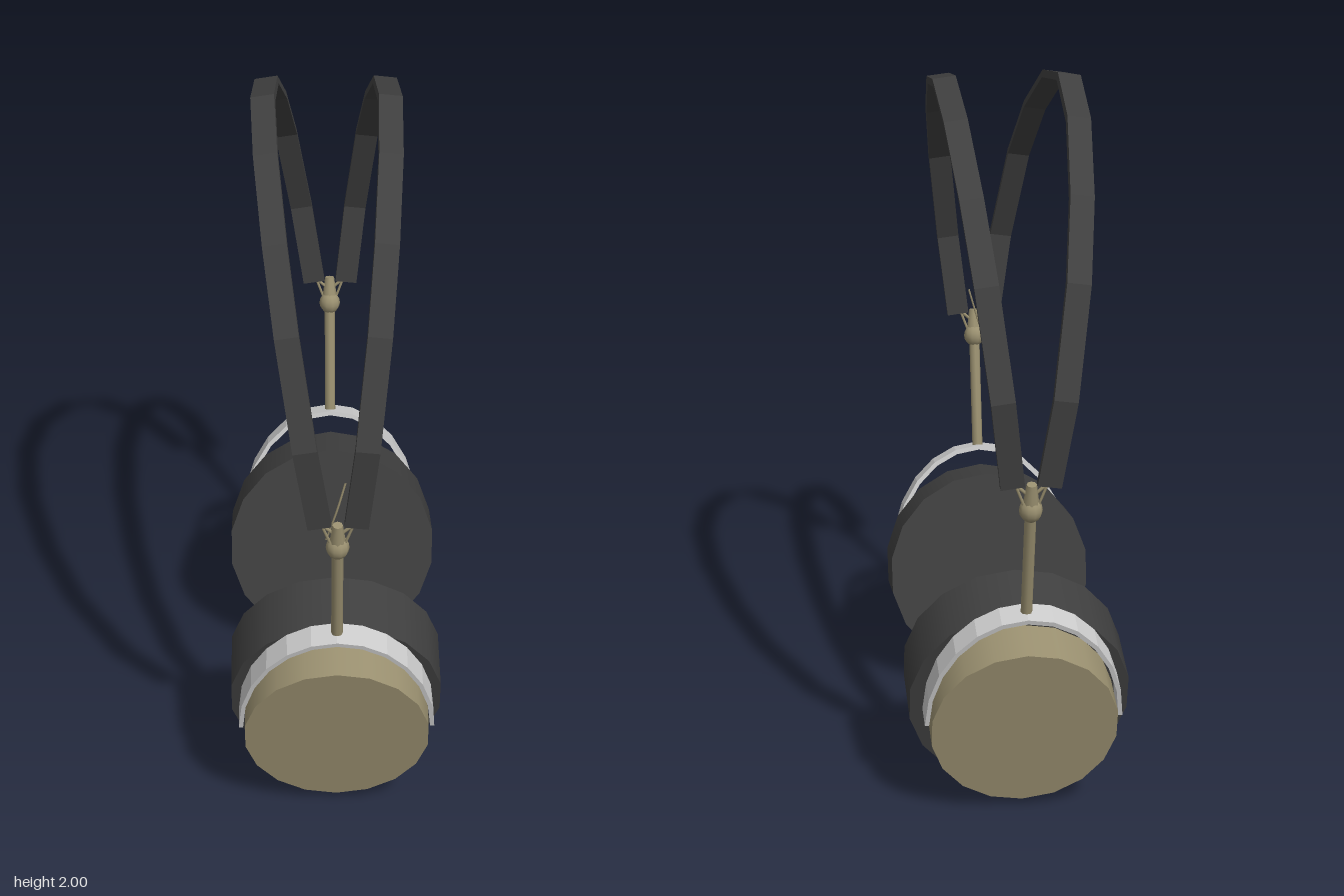
import * as THREE from 'three';

const mat = (color, flatShading) => new THREE.MeshStandardMaterial({ color, flatShading });
const dark = mat(0x3f3f3f, false), tan = mat(0x9a9070, false);
const strapDark = mat(0x3f3f3f, true), grey = mat(0xcccccc, true);

function add(parent, name, geometry, material) {
  const mesh = new THREE.Mesh(geometry, material);
  mesh.name = name;
  parent.add(mesh);
  return mesh;
}

// Cylinder along z between two depths
function disc(r, z0, z1, sides) {
  return new THREE.CylinderGeometry(r, r, z1 - z0, sides).rotateX(Math.PI / 2).translate(0, 0, (z0 + z1) / 2);
}

// Round bar between two points
function bar(a, b, r0, r1 = r0, sides = 8) {
  const A = new THREE.Vector3(...a), B = new THREE.Vector3(...b), d = B.clone().sub(A);
  const g = new THREE.CylinderGeometry(r1, r0, d.length(), sides);
  g.applyQuaternion(new THREE.Quaternion().setFromUnitVectors(new THREE.Vector3(0, 1, 0), d.normalize()));
  return g.translate(...A.add(B).multiplyScalar(0.5).toArray());
}

// Faceted headband strap: an arch leaning sideways from its foot at x
function strap(x, tilt) {
  const t = 0.022;
  const half = [[0.705, 1.06], [0.73, 1.31], [0.637, 1.6], [0.48, 1.79], [0.25, 1.94]];
  const outer = [...half, [0, 1.995], ...half.slice().reverse().map(([z, y]) => [-z, y])];
  // Inner edge is set in from the outer one along its normal
  const inner = outer.map(([z, y], i) => {
    const a = outer[Math.max(i - 1, 0)], b = outer[Math.min(i + 1, outer.length - 1)];
    const dz = b[0] - a[0], dy = b[1] - a[1], l = Math.hypot(dz, dy);
    return [z - dy / l * t, y + dz / l * t];
  });
  const pts = [...outer, ...inner.reverse()]
    .map(([z, y]) => new THREE.Vector2(z, (y - 1.06) / Math.cos(tilt)));
  return new THREE.ExtrudeGeometry(new THREE.Shape(pts), { depth: 0.065, bevelEnabled: false })
    .translate(0, 0, -0.0325).rotateY(-Math.PI / 2).rotateZ(tilt).translate(x, 1.06, 0);
}

// Half-oval fork: a flat strip bent over the top of the cup
function forkGeometry() {
  const N = 12;
  const arc = (rx, ry) => Array.from({ length: N + 1 }, (_, i) =>
    new THREE.Vector2(rx * Math.cos(Math.PI * i / N), ry * Math.sin(Math.PI * i / N)));
  const shape = new THREE.Shape([...arc(0.278, 0.36), ...arc(0.266, 0.346).reverse()]);
  return new THREE.ExtrudeGeometry(shape, { depth: 0.075, bevelEnabled: false }).translate(0, 0, 0.034);
}

function earSide(name, padRadius, padY) {
  const side = new THREE.Group();
  side.name = name;

  // Tilted ear cup
  const cup = new THREE.Group();
  cup.name = 'earCup';
  cup.position.set(0, 0.325, 0.458);
  cup.rotation.x = 0.235;
  side.add(cup);
  add(cup, 'earPad', disc(padRadius, -0.186, 0, 18), dark).position.y = padY;
  add(cup, 'cupShell', disc(0.264, -0.01, 0.134, 18), tan).position.y = -0.014;
  add(cup, 'fork', forkGeometry(), grey).position.y = -0.005;

  // Slider rod and its ball joint
  add(side, 'rod', bar([0, 0.645, 0.603], [0, 0.99, 0.685], 0.016), tan);
  const ball = add(side, 'ballJoint', new THREE.SphereGeometry(0.032, 10, 8), tan);
  ball.position.set(0, 0.99, 0.686);
  ball.scale.y = 1.1;
  add(side, 'jointNeck', bar([0, 1.01, 0.69], [0, 1.07, 0.703], 0.022, 0.014), tan);

  // Thin wires up to the two straps
  for (const s of [-1, 1]) {
    add(side, 'strapWire', bar([s * 0.008, 0.975, 0.69], [s * 0.045, 1.075, 0.7], 0.004, 0.004, 5), tan);
    add(side, 'strapHook', bar([0, 1.03, 0.695], [s * 0.045, 1.07, 0.697], 0.005, 0.005, 5), tan);
  }
  return side;
}

export function createModel() {
  const model = new THREE.Group();
  model.name = 'headphones';

  // The two straps spread apart towards the top
  add(model, 'rightStrap', strap(-0.048, 0.153), strapDark);
  add(model, 'leftStrap', strap(0.05, -0.112), strapDark);

  const front = earSide('frontEarSide', 0.304, -0.003);
  const back = earSide('backEarSide', 0.315, -0.017);
  back.rotation.y = Math.PI;
  model.add(front, back);

  // Loose wire end by the front joint
  const curve = new THREE.CatmullRomCurve3([
    new THREE.Vector3(-0.03, 0.98, 0.635), new THREE.Vector3(0, 1.08, 0.642), new THREE.Vector3(0.022, 1.16, 0.635)]);
  add(model, 'looseWire', new THREE.TubeGeometry(curve, 6, 0.003, 5), tan);
  return model;
}
